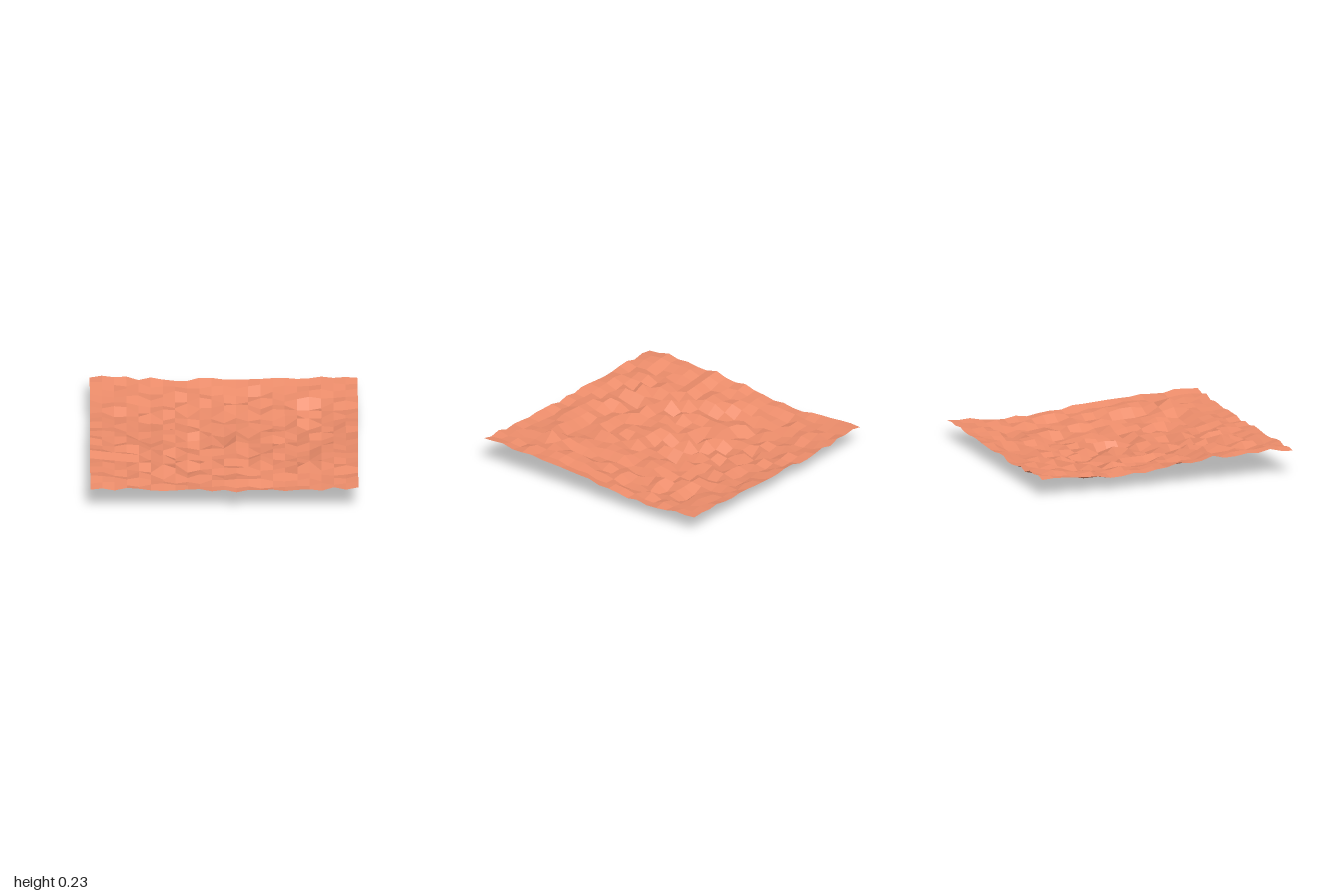
import * as THREE from 'three';

const CELLS = 22;

// Distinct peaks and pits at grid points: [column, row, height change]
const FEATURES = [
  [18, 18, 0.075], [6, 18, 0.06], [7, 18, 0.03], [17, 18, 0.03], [18, 17, 0.02],
  [11, 10, -0.06], [11, 11, -0.04], [9, 10, -0.04], [8, 10, -0.03],
  [17, 4, -0.04], [18, 4, -0.055], [19, 4, -0.035], [8, 5, -0.04],
  [18, 8, -0.04], [8, 17, -0.04], [7, 14, -0.035], [6, 8, -0.035],
  [14, 2, -0.025], [13, 9, -0.035], [17, 10, -0.035], [16, 7, -0.03],
  [18, 6, -0.03], [13, 16, -0.03], [14, 21, -0.02], [17, 13, -0.03],
  [5, 15, -0.03], [8, 4, 0.03], [18, 7, 0.025], [4, 17, 0.025],
  [9, 9, 0.03], [8, 16, 0.03], [7, 13, 0.03], [13, 8, 0.03],
];

// Broad shallow basin, higher along the front and the sides
function basin(x, z) {
  return 0.07 + 0.028 * z + 0.068 * z * z + 0.026 * Math.sin(Math.PI * z)
    + x * x * (0.072 - 0.046 * z * z);
}

function seeded(seed) {
  return () => {
    seed = (seed * 1664525 + 1013904223) % 4294967296;
    return seed / 4294967296;
  };
}

// One shared normal per square, so each cell reads as a flat facet
function facetSquares(geometry) {
  const flat = geometry.toNonIndexed();
  flat.computeVertexNormals();
  const normals = flat.attributes.normal;
  const a = new THREE.Vector3();
  const b = new THREE.Vector3();
  for (let i = 0; i < normals.count; i += 6) {
    a.fromBufferAttribute(normals, i);
    b.fromBufferAttribute(normals, i + 3);
    a.add(b).normalize();
    for (let k = 0; k < 6; k++) normals.setXYZ(i + k, a.x, a.y, a.z);
  }
  return flat;
}

export function createModel() {
  const group = new THREE.Group();
  group.name = 'terrain';

  const geometry = new THREE.PlaneGeometry(2, 2, CELLS, CELLS).rotateX(-Math.PI / 2);
  const position = geometry.attributes.position;
  const random = seeded(7);
  const raise = (column, row, change) => {
    const i = row * (CELLS + 1) + column;
    position.setY(i, basin(position.getX(i), position.getZ(i)) + change);
  };

  // Basin plus small bumps, rougher in the middle than along the border
  for (let row = 0; row <= CELLS; row++) {
    for (let column = 0; column <= CELLS; column++) {
      const inset = Math.min(row, column, CELLS - row, CELLS - column);
      raise(column, row, (random() - 0.5) * Math.min(0.03 + 0.01 * inset, 0.07));
    }
  }

  for (const feature of FEATURES) raise(...feature);

  // Small ridge and furrow on the front right
  for (let column = 0; column < 5; column++) {
    raise(column, 15, 0.016);
    raise(column, 16, -0.014);
  }

  // Rest the lowest point on the ground
  geometry.computeBoundingBox();
  geometry.translate(0, -geometry.boundingBox.min.y, 0);

  const ground = new THREE.Mesh(
    facetSquares(geometry),
    new THREE.MeshStandardMaterial({ color: 0xeb8c6a, side: THREE.DoubleSide }),
  );
  ground.name = 'groundSurface';
  group.add(ground);
  return group;
}
